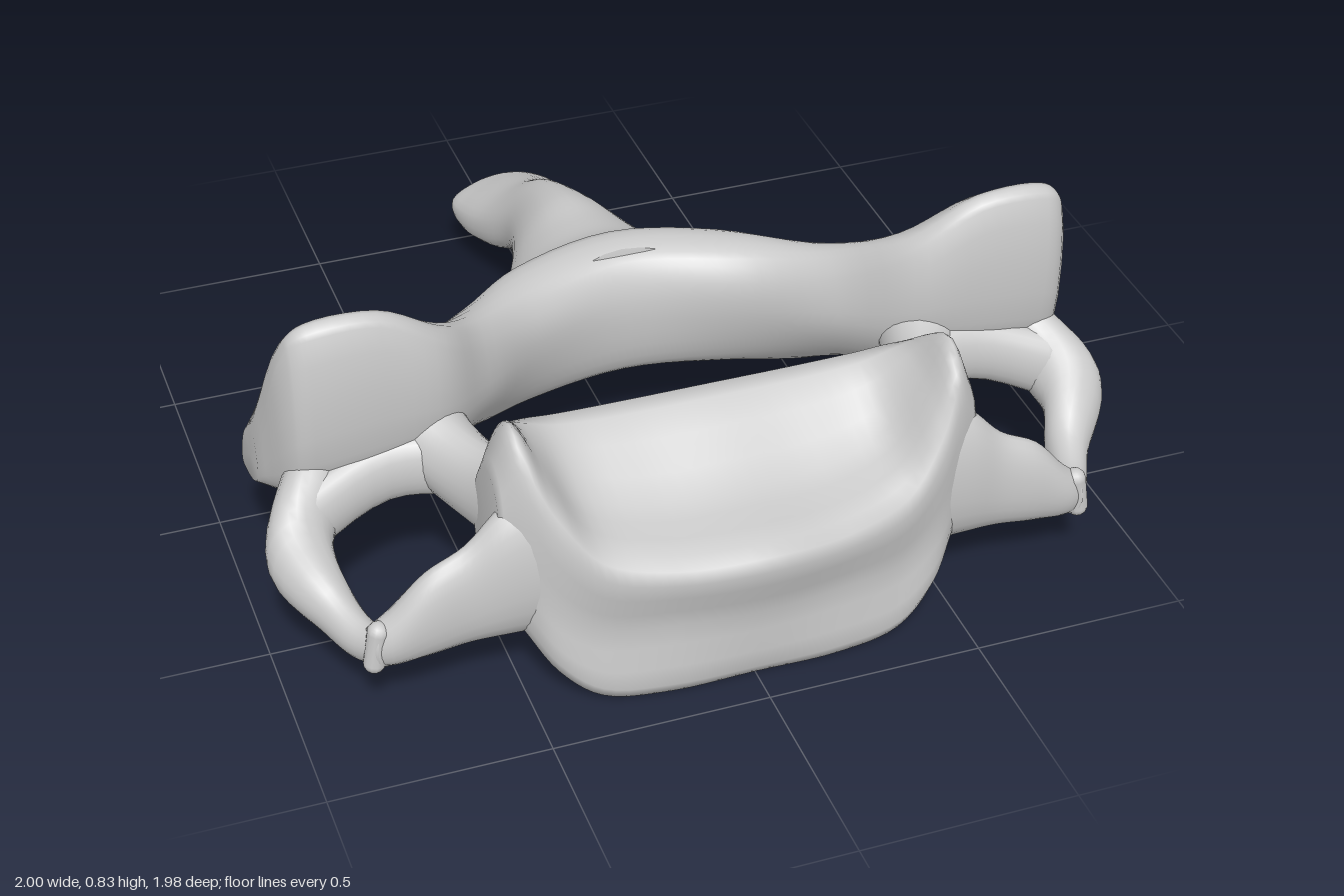
import * as THREE from 'three';

const material = new THREE.MeshStandardMaterial({ color: 0xcccccc });
const V = (x, y, z) => new THREE.Vector3(x, y, z);

// Smooth closed skin through a row of rings (arrays of Vector3 of equal length).
function loft(name, rings, along = 5, around = 4) {
  const count = rings[0].length;
  const rows = (rings.length - 1) * along;
  const cols = count * around;
  const rails = [];
  for (let i = 0; i < count; i++) rails.push(new THREE.CatmullRomCurve3(rings.map((r) => r[i])));
  const pos = [];
  const index = [];
  const centres = [];
  for (let r = 0; r <= rows; r++) {
    const ring = new THREE.CatmullRomCurve3(rails.map((c) => c.getPoint(r / rows)), true);
    const centre = V(0, 0, 0);
    for (let c = 0; c < cols; c++) {
      const p = ring.getPoint(c / cols);
      centre.addScaledVector(p, 1 / cols);
      pos.push(p.x, p.y, p.z);
    }
    centres.push(centre);
  }
  for (let r = 0; r < rows; r++) {
    for (let c = 0; c < cols; c++) {
      const a = r * cols + c;
      const b = r * cols + ((c + 1) % cols);
      index.push(a, b, a + cols, b, b + cols, a + cols);
    }
  }
  // end caps
  const first = (rows + 1) * cols;
  pos.push(...centres[0].toArray(), ...centres[rows].toArray());
  for (let c = 0; c < cols; c++) {
    const d = (c + 1) % cols;
    index.push(first, d, c, first + 1, rows * cols + c, rows * cols + d);
  }
  // turn all faces outward
  const at = (i) => V(pos[i * 3], pos[i * 3 + 1], pos[i * 3 + 2]);
  let volume = 0;
  for (let i = 0; i < index.length; i += 3) {
    volume += at(index[i]).dot(at(index[i + 1]).cross(at(index[i + 2])));
  }
  if (volume < 0) index.reverse();
  const geometry = new THREE.BufferGeometry();
  geometry.setAttribute('position', new THREE.Float32BufferAttribute(pos, 3));
  geometry.setIndex(index);
  geometry.computeVertexNormals();
  const mesh = new THREE.Mesh(geometry, material);
  mesh.name = name;
  return mesh;
}

// Left-right symmetric skin from half sections: [x, [z, y], [z, y], ...]
function symmetric(name, half) {
  const rings = (s) => half.map(([x, ...pts]) => pts.map(([z, y]) => V(s * x, y, z)));
  return loft(name, [...rings(-1).slice(1).reverse(), ...rings(1)]);
}

// Bar along a path of [x, y, z, halfWidth, halfHeight], on the given side.
function bar(name, side, path) {
  const pts = path.map(([x, y, z]) => V(side * x, y, z));
  const rings = path.map(([, , , w, h], i) => {
    const t = pts[Math.min(i + 1, pts.length - 1)].clone().sub(pts[Math.max(i - 1, 0)]);
    const across = V(t.z, 0, -t.x).normalize();
    return Array.from({ length: 8 }, (_, k) => {
      const a = (k / 8) * Math.PI * 2;
      return pts[i].clone().addScaledVector(across, w * Math.cos(a)).add(V(0, h * Math.sin(a), 0));
    });
  });
  return loft(name, rings, 5, 3);
}

export function createModel() {
  const model = new THREE.Group();
  model.name = 'neckVertebra';

  // Body with raised hooked side rims.
  // Order: top front, top, top back, back, bottom back, bottom, bottom front, front
  model.add(symmetric('body', [
    [0, [0.98, 0.38], [0.78, 0.42], [0.56, 0.55], [0.52, 0.33], [0.45, 0.14], [0.68, 0.1], [0.91, 0.005], [0.94, 0.2]],
    [0.2, [0.95, 0.37], [0.77, 0.42], [0.56, 0.55], [0.52, 0.33], [0.45, 0.14], [0.68, 0.1], [0.91, 0.005], [0.92, 0.2]],
    [0.35, [0.91, 0.4], [0.75, 0.46], [0.57, 0.56], [0.52, 0.34], [0.46, 0.15], [0.68, 0.11], [0.89, 0.02], [0.89, 0.2]],
    [0.44, [0.87, 0.51], [0.75, 0.58], [0.59, 0.58], [0.54, 0.36], [0.5, 0.17], [0.68, 0.13], [0.86, 0.09], [0.87, 0.26]],
    [0.5, [0.82, 0.61], [0.74, 0.68], [0.63, 0.6], [0.58, 0.42], [0.57, 0.24], [0.7, 0.19], [0.81, 0.18], [0.84, 0.35]],
    [0.55, [0.79, 0.53], [0.73, 0.57], [0.66, 0.52], [0.62, 0.43], [0.62, 0.32], [0.7, 0.27], [0.78, 0.26], [0.8, 0.4]],
  ]));

  // Rear arch: thin in the middle, widening into the joint slabs at each side
  model.add(symmetric('archAndJointSlabs', [
    [0, [0.07, 0.5], [0.03, 0.56], [-0.08, 0.56], [-0.15, 0.4], [-0.1, 0.23], [0, 0.22], [0.05, 0.26], [0.08, 0.4]],
    [0.25, [0.15, 0.5], [0.1, 0.56], [-0.02, 0.55], [-0.1, 0.4], [-0.04, 0.23], [0.05, 0.22], [0.1, 0.27], [0.15, 0.4]],
    [0.42, [0.3, 0.57], [0.24, 0.61], [0.12, 0.56], [0.03, 0.42], [0.05, 0.22], [0.13, 0.24], [0.25, 0.34], [0.32, 0.46]],
    [0.55, [0.44, 0.69], [0.39, 0.72], [0.22, 0.58], [0.08, 0.42], [0.07, 0.21], [0.19, 0.29], [0.37, 0.37], [0.45, 0.5]],
    [0.7, [0.47, 0.8], [0.43, 0.82], [0.26, 0.61], [0.1, 0.42], [0.08, 0.2], [0.22, 0.33], [0.4, 0.36], [0.48, 0.5]],
    [0.86, [0.47, 0.8], [0.43, 0.82], [0.28, 0.61], [0.13, 0.42], [0.09, 0.22], [0.23, 0.32], [0.4, 0.35], [0.48, 0.48]],
    [0.905, [0.45, 0.77], [0.42, 0.78], [0.29, 0.6], [0.15, 0.42], [0.11, 0.23], [0.23, 0.31], [0.38, 0.35], [0.46, 0.46]],
    [0.96, [0.32, 0.42], [0.29, 0.46], [0.24, 0.44], [0.18, 0.38], [0.15, 0.29], [0.2, 0.29], [0.28, 0.32], [0.32, 0.36]],
  ]));

  // Spine: [z, half width, top, bottom], ridged on top and hollow underneath
  const spine = [
    [0.03, 0.36, 0.57, 0.22], [-0.07, 0.32, 0.55, 0.22], [-0.17, 0.25, 0.51, 0.2], [-0.28, 0.2, 0.485, 0.2],
    [-0.42, 0.14, 0.465, 0.215], [-0.6, 0.1, 0.4, 0.19], [-0.75, 0.12, 0.31, 0.12],
    [-0.88, 0.145, 0.25, 0.09], [-0.96, 0.145, 0.21, 0.1], [-0.99, 0.11, 0.18, 0.12],
  ];
  model.add(loft('spinousProcess', spine.map(([z, w, top, low]) => {
    const h = top - low;
    return [
      [0, top], [0.5, top - 0.12 * h], [0.95, top - 0.5 * h], [0.9, low + 0.12 * h], [0.5, low],
      [0, low + 0.12 * h], [-0.5, low], [-0.9, low + 0.12 * h], [-0.95, top - 0.5 * h], [-0.5, top - 0.12 * h],
    ].map(([x, y]) => V(x * w, y, z));
  })));

  for (const side of [1, -1]) {
    const ring = new THREE.Group();
    ring.name = side > 0 ? 'leftSideRing' : 'rightSideRing';
    ring.add(
      // root joining the body to the joint slab
      bar('pedicle', side, [
        [0.46, 0.42, 0.68, 0.07, 0.14], [0.51, 0.41, 0.58, 0.065, 0.11],
        [0.55, 0.42, 0.49, 0.075, 0.1], [0.6, 0.46, 0.38, 0.1, 0.1],
      ]),
      // front bar of the opening
      bar('frontBar', side, [
        [0.44, 0.36, 0.78, 0.08, 0.2], [0.54, 0.34, 0.79, 0.06, 0.17], [0.62, 0.3, 0.79, 0.045, 0.13],
        [0.71, 0.27, 0.79, 0.045, 0.11], [0.79, 0.22, 0.78, 0.045, 0.07], [0.84, 0.2, 0.77, 0.03, 0.045],
      ]),
      // outer bar, swelling into the pointed side tip
      bar('outerBar', side, [
        [0.8, 0.21, 0.8, 0.035, 0.05], [0.84, 0.19, 0.73, 0.04, 0.05], [0.875, 0.21, 0.64, 0.05, 0.065],
        [0.925, 0.3, 0.55, 0.075, 0.1], [0.88, 0.37, 0.46, 0.07, 0.11], [0.82, 0.42, 0.38, 0.06, 0.09],
      ]),
      // back bar against the joint slab
      bar('backBar', side, [
        [0.52, 0.41, 0.49, 0.04, 0.08], [0.7, 0.41, 0.45, 0.045, 0.08], [0.92, 0.34, 0.5, 0.05, 0.09],
      ]),
    );
    // small knob at the front outer corner
    const knob = new THREE.Mesh(new THREE.CapsuleGeometry(0.025, 0.08, 6, 12), material);
    knob.name = 'frontKnob';
    knob.position.set(side * 0.825, 0.21, 0.79);
    knob.rotation.z = side * 0.15;
    ring.add(knob);
    model.add(ring);
  }
  return model;
}
